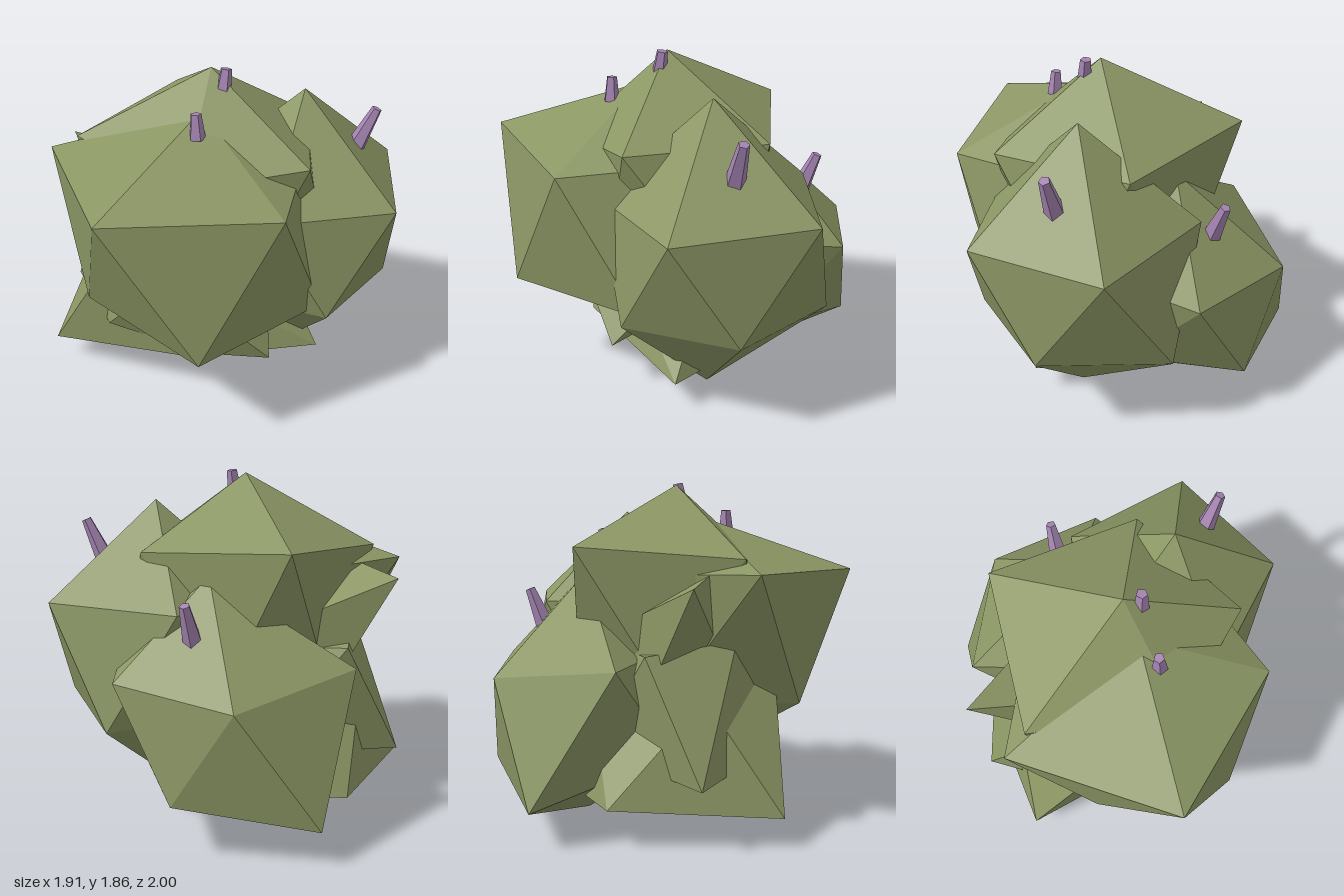
import * as THREE from 'three';
import { ConvexGeometry } from 'three/addons/geometries/ConvexGeometry.js';

export function createModel() {
  const group = new THREE.Group();
  const olive = new THREE.MeshStandardMaterial({ color: 0x8b9664, flatShading: true });
  olive.name = 'olive green';
  const purple = new THREE.MeshStandardMaterial({ color: 0xa685b3, flatShading: true });
  purple.name = 'dusty purple';

  const vec = (p) => new THREE.Vector3(...p);

  // Faceted lump: an uneven hull of about twelve corners
  function lump(name, corners) {
    const mesh = new THREE.Mesh(new ConvexGeometry(corners.map(vec)), olive);
    mesh.name = name;
    group.add(mesh);
  }

  // Five-sided tapered thorn between two points
  function thorn(name, from, to, rBase, rTip) {
    const a = vec(from), b = vec(to);
    const dir = b.clone().sub(a);
    const mesh = new THREE.Mesh(new THREE.CylinderGeometry(rTip, rBase, dir.length(), 5), purple);
    mesh.position.copy(a).add(b).multiplyScalar(0.5);
    mesh.quaternion.setFromUnitVectors(new THREE.Vector3(0, 1, 0), dir.normalize());
    mesh.name = name;
    group.add(mesh);
  }

  lump('frontLump', [
    [0.3, 1.38, 1], [0.81, 1.34, 0.26], [0.66, 0.61, 0.68], [-0.12, 0.67, 0.79],
    [-0.57, 1.38, 0.66], [0.12, 1.67, 0.17], [0.73, 0.62, -0.15], [0.45, 1.38, -0.28],
    [0.16, 0.33, 0.28], [-0.1, 0.62, -0.45], [-0.37, 0.66, 0.1], [-0.42, 1.36, -0.1],
  ]);

  lump('topLump', [
    [0.05, 1.85, 0.04], [-0.63, 1.51, -0.3], [0.17, 1.46, -0.61], [0.68, 1.46, -0.05],
    [-0.46, 1.45, 0.56], [0.33, 1.4, 0.48], [0.45, 0.7, 0.2], [-0.13, 0.75, 0.6],
    [-0.5, 0.85, 0.09], [0.45, 0.76, -0.5], [-0.3, 0.8, -0.42], [0, 0.31, 0],
  ]);

  lump('backLeftLump', [
    [0.34, 1.71, -0.37], [0.95, 1.18, -0.44], [0.47, 1.2, -1], [-0.2, 1.19, -0.67],
    [-0.11, 1.19, 0.04], [0.59, 1.18, 0.15], [0.82, 0.6, -0.1], [0.73, 0.6, -0.72],
    [0.07, 0.56, -0.94], [-0.2, 0.6, -0.3], [0.24, 0.6, 0.17], [0.34, 0.06, -0.36],
  ]);

  lump('backRightLump', [
    [-0.17, 1.36, -0.43], [-0.69, 0.82, -0.74], [-0.81, 0.91, 0], [-0.96, 0.2, -0.41],
    [-0.4, 0.3, -0.9], [-0.05, 0.87, -0.97], [-0.23, 0, -0.4], [0.2, 0.42, -0.66],
    [0.33, 0.42, -0.1], [0.5, 1, -0.45], [0, 0.94, 0.06], [-0.31, 0.37, 0.13],
  ]);

  lump('baseLump', [
    [-0.12, 0.06, 0.08], [-0.52, 0.16, 0.79], [0.3, 0.3, 0.42], [0.61, 0.18, -0.3],
    [-0.82, 0.21, -0.05], [-0.26, 0.22, -0.65], [-0.05, 0.95, 0.63], [-0.55, 0.75, 0.38],
    [0.25, 0.6, 0.1], [0.2, 0.7, -0.3], [-0.4, 0.7, -0.3],
  ]);

  lump('middleLump', [
    [-0.78, 0.34, 0.43], [0.6, 0.3, 0.1], [-0.12, 0.43, 0.67], [-0.67, 0.97, 0.1],
    [-0.38, 1.03, 0.5], [0.3, 0.9, 0.6], [0.3, 0.28, 0.34], [-0.1, 0.2, 0.1],
    [-0.4, 0.4, -0.3], [0.1, 0.9, -0.35],
  ]);

  lump('rightShoulderLump', [
    [-0.77, 1.32, 0.38], [-0.5, 0.5, -0.05], [-0.2, 0.83, 0.42], [-0.1, 1.45, 0.4],
    [-0.3, 1.02, -0.3], [0.2, 1, 0],
  ]);

  // Thorns, sunk slightly into the lumps
  thorn('topThorn', [0.14, 1.74, 0.04], [0.14, 1.86, 0.02], 0.042, 0.03);
  thorn('frontThorn', [0.22, 1.58, 0.29], [0.21, 1.71, 0.29], 0.044, 0.028);
  thorn('backLeftThorn', [0.54, 1.37, -0.58], [0.61, 1.6, -0.65], 0.055, 0.028);
  thorn('backRightThorn', [-0.28, 1.05, -0.63], [-0.31, 1.27, -0.71], 0.055, 0.028);

  return group;
}
